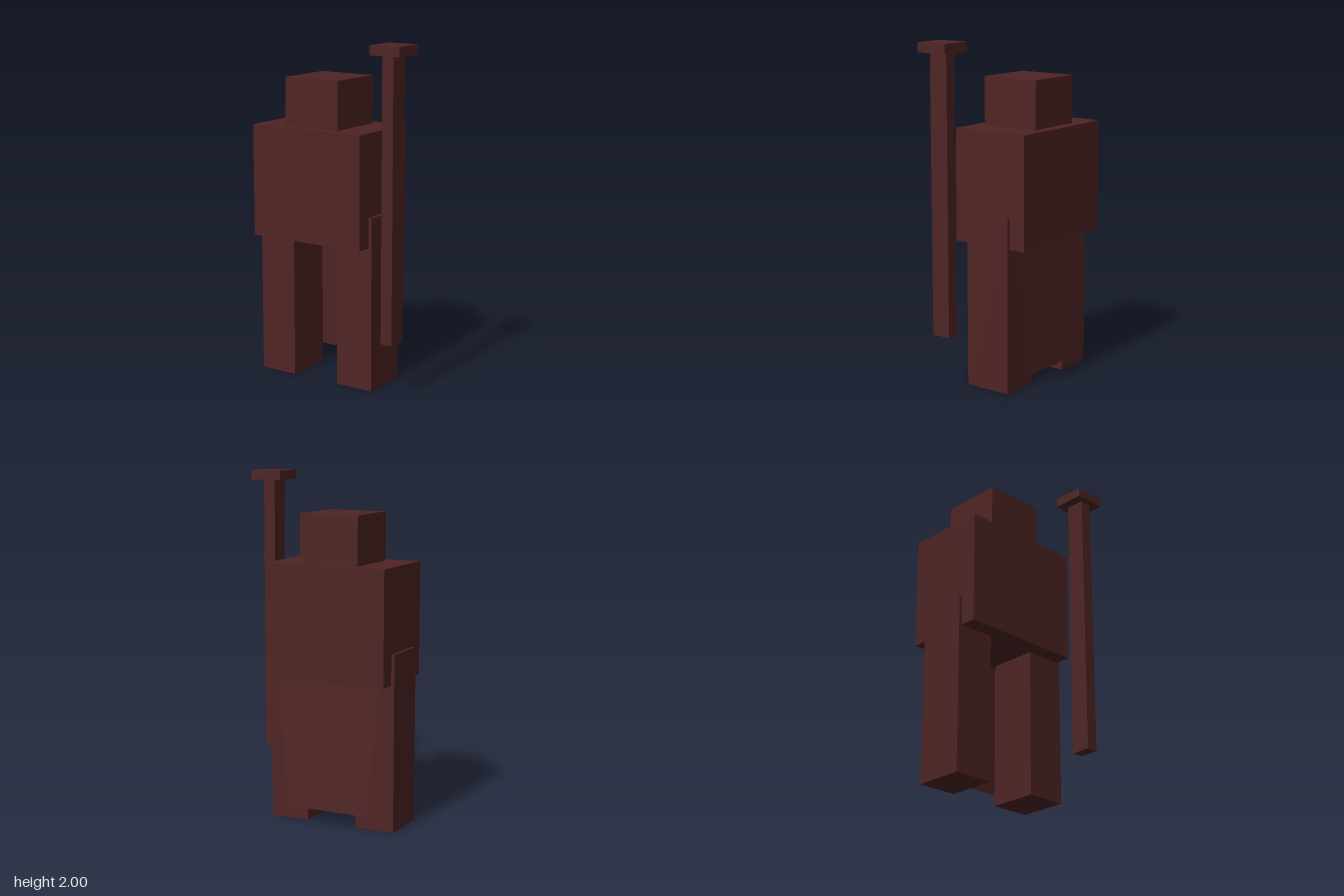
import * as THREE from 'three';

export function createModel() {
  const model = new THREE.Group();
  const material = new THREE.MeshStandardMaterial({ color: 0x4f2424, flatShading: true });
  const clothMaterial = new THREE.MeshStandardMaterial({ color: 0x4f2424, flatShading: true, side: THREE.DoubleSide });
  const centre = -0.13; // the figure stands beside its staff

  // Box given by its lower and upper corners
  function block(name, [x0, y0, z0], [x1, y1, z1]) {
    const mesh = new THREE.Mesh(new THREE.BoxGeometry(x1 - x0, y1 - y0, z1 - z0), material);
    mesh.position.set((x0 + x1) / 2, (y0 + y1) / 2, (z0 + z1) / 2);
    mesh.name = name;
    model.add(mesh);
  }

  // Figure
  block('head', [-0.31, 1.5, -0.2], [0.05, 1.78, 0.16]);
  block('torso', [-0.5, 0.845, -0.26], [0.24, 1.5, 0.22]);
  for (const [name, side] of [['leftLeg', 1], ['rightLeg', -1]]) {
    const inner = centre + side * 0.153;
    const outer = centre + side * 0.389;
    block(name, [Math.min(inner, outer), 0, -0.16], [Math.max(inner, outer), 1.02, 0.127]);
  }

  // Thin cape, narrowing and swinging outwards towards the hem
  const top = 1.02, hem = 0.093;
  const shape = new THREE.Shape([
    new THREE.Vector2(-0.335, top), new THREE.Vector2(-0.252, hem),
    new THREE.Vector2(0.252, hem), new THREE.Vector2(0.335, top),
  ]);
  const capeGeometry = new THREE.ShapeGeometry(shape);
  const p = capeGeometry.attributes.position;
  for (let i = 0; i < p.count; i++) {
    p.setZ(i, THREE.MathUtils.mapLinear(p.getY(i), hem, top, -0.23, -0.192));
  }
  capeGeometry.computeVertexNormals();
  const cape = new THREE.Mesh(capeGeometry, clothMaterial);
  cape.name = 'cape';
  cape.position.x = centre;
  model.add(cape);

  // Staff with a flat square cap
  block('staffShaft', [0.386, 0.333, 0.105], [0.457, 1.945, 0.221]);
  block('staffCap', [0.327, 1.945, 0.066], [0.518, 2, 0.257]);

  return model;
}
